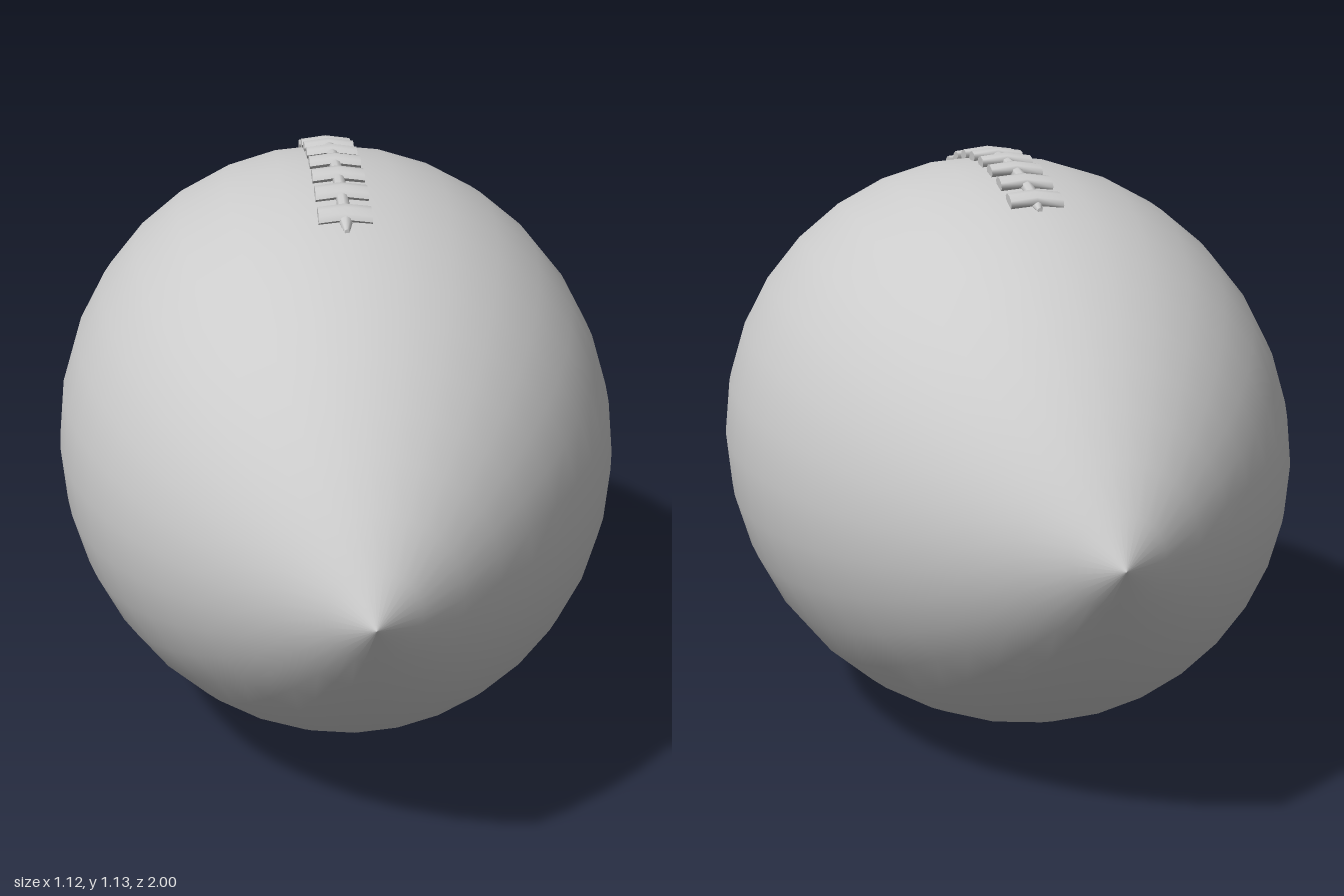
import * as THREE from 'three';

const RADIUS = 0.558, CENTER_Y = 0.563;
const ARC = (1 + RADIUS * RADIUS) / (2 * RADIUS); // radius of the side arc
const radiusAt = z => Math.sqrt(ARC * ARC - z * z) - (ARC - RADIUS);

export function createModel() {
  const group = new THREE.Group();
  const material = new THREE.MeshStandardMaterial({ color: 0xcccccc });

  const add = (name, geometry) => {
    const mesh = new THREE.Mesh(geometry, material);
    mesh.name = name;
    group.add(mesh);
    return mesh;
  };

  // Body: a pointed circular arc spun around the long axis
  const tip = Math.asin(1 / ARC);
  const profile = [];
  for (let i = 0; i <= 24; i++) {
    const z = ARC * Math.sin(tip * (i / 12 - 1));
    profile.push(new THREE.Vector2(i % 24 ? radiusAt(z) : 0, z));
  }
  add('body', new THREE.LatheGeometry(profile, 32).rotateX(Math.PI / 2)).position.y = CENTER_Y;

  // Lace spine: a thin cord bent along the top, narrowing at its ends
  const spine = new THREE.CylinderGeometry(0.012, 0.012, 0.72, 8, 24).rotateX(Math.PI / 2);
  const p = spine.attributes.position;
  for (let i = 0; i < p.count; i++) {
    const z = p.getZ(i);
    const taper = Math.min(1, 0.4 + (0.36 - Math.abs(z)) / 0.05);
    p.setXYZ(i, p.getX(i) * taper, CENTER_Y + radiusAt(z) + p.getY(i) * taper + 0.001, z);
  }
  spine.computeVertexNormals();
  add('laceSpine', spine);

  // Cross laces: flattened cords that dip on both sides of the spine
  const lace = new THREE.CylinderGeometry(1, 1, 0.1, 8, 2).rotateZ(Math.PI / 2).scale(1, 0.012, 0.0275);
  const q = lace.attributes.position;
  for (let i = 0; i < q.count; i++) {
    q.setY(i, q.getY(i) - Math.abs(q.getX(i)) * 0.13);
  }
  lace.computeVertexNormals();
  for (let i = 0; i < 8; i++) {
    const z = (i - 3.5) * 0.089 - 0.007;
    const mesh = add('crossLace' + (i + 1), lace);
    mesh.position.set(0, CENTER_Y + radiusAt(z) + 0.007, z);
    mesh.rotation.x = Math.asin(z / ARC);
  }
  return group;
}
